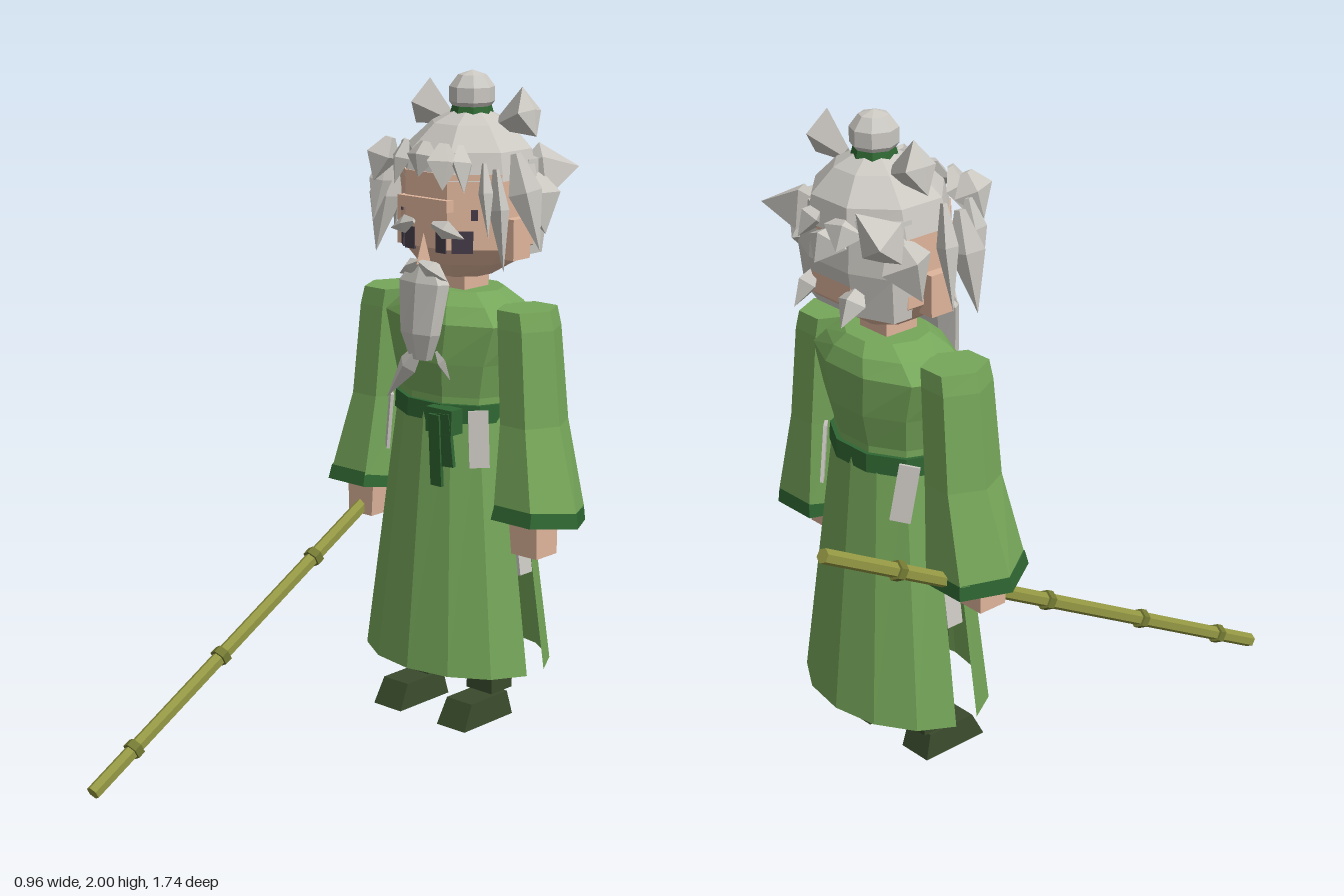
import * as THREE from 'three';

const mat = (name, color, side = THREE.FrontSide) =>
  Object.assign(new THREE.MeshStandardMaterial({ color, flatShading: true, side }), { name });

const M = {
  robe: mat('robe green', 0x76a75a, THREE.DoubleSide),
  trim: mat('trim green', 0x2f6632, THREE.DoubleSide),
  dark: mat('trouser green', 0x3a4a2c),
  hair: mat('hair grey', 0xcbc8c2),
  skin: mat('skin', 0xdfb59c),
  eye: mat('eye dark', 0x453c48),
  cane: mat('bamboo', 0x959843),
  node: mat('bamboo joint', 0x747a34),
};

// Skin rings [y, cx, cz, rx, rz] listed from bottom to top
function loft(rings, n, { start = 0, len = Math.PI * 2, caps = true } = {}) {
  const pos = [], idx = [];
  for (const [y, cx, cz, rx, rz] of rings)
    for (let j = 0; j <= n; j++) {
      const a = start + (len * j) / n;
      pos.push(cx + rx * Math.sin(a), y, cz + rz * Math.cos(a));
    }
  const w = n + 1;
  for (let i = 0; i < rings.length - 1; i++)
    for (let j = 0; j < n; j++) {
      const a = i * w + j;
      idx.push(a, a + 1, a + w + 1, a, a + w + 1, a + w);
    }
  if (caps)
    for (const i of [0, rings.length - 1]) {
      const [y, cx, cz] = rings[i], c = pos.length / 3;
      pos.push(cx, y, cz);
      for (let j = 0; j < n; j++) {
        const a = i * w + j;
        if (i) idx.push(c, a, a + 1); else idx.push(c, a + 1, a);
      }
    }
  const g = new THREE.BufferGeometry();
  g.setAttribute('position', new THREE.Float32BufferAttribute(pos, 3));
  g.setIndex(idx);
  g.computeVertexNormals();
  return g;
}

export function createModel() {
  const root = new THREE.Group();
  root.name = 'oldMaster';
  const V = (p) => new THREE.Vector3(...p);
  const add = (name, geo, m, p = [0, 0, 0], r = [0, 0, 0]) => {
    const mesh = new THREE.Mesh(geo, m);
    mesh.name = name;
    mesh.position.set(...p);
    mesh.rotation.set(...r);
    root.add(mesh);
    return mesh;
  };
  const box = (name, size, m, p, r) => add(name, new THREE.BoxGeometry(...size), m, p, r);
  // Mesh whose local y runs from a to b
  const along = (name, geo, m, a, b) => {
    const mesh = add(name, geo, m, a);
    mesh.quaternion.setFromUnitVectors(new THREE.Vector3(0, 1, 0), V(b).sub(V(a)).normalize());
    return mesh;
  };
  // Pointed diamond lock of hair
  const lock = (name, a, b, w, flat = 0.6, mid = 0.4) => {
    const L = V(a).distanceTo(V(b));
    return along(name, loft([[0, 0, 0, w * 0.3, w * 0.3 * flat], [L * mid, 0, 0, w, w * flat], [L, 0, 0, 0, 0]], 4), M.hair, a, b);
  };
  const oct = { start: Math.PI / 8 };
  const K = 1 / Math.cos(Math.PI / 8);

  // Robe: torso, split skirt, belt and sash
  add('torso', loft([
    [0.98, 0, -0.335, 0.195, 0.15], [1.06, 0, -0.335, 0.195, 0.15], [1.16, 0, -0.34, 0.22, 0.17],
    [1.28, 0, -0.345, 0.262, 0.172], [1.33, 0, -0.35, 0.2, 0.15], [1.365, 0, -0.355, 0.13, 0.115],
  ], 10, { start: Math.PI / 10 }), M.robe);
  for (const [name, c] of [['skirtFront', 0], ['skirtBack', Math.PI]])
    add(name, loft([[0.22, 0, -0.34, 0.315, 0.232], [1.02, 0, -0.335, 0.2, 0.155]], 6,
      { start: c - 1.4, len: 2.8, caps: false }), M.robe);
  add('belt', loft([[0.985, 0, -0.335, 0.21, 0.165], [1.04, 0, -0.335, 0.207, 0.163]], 10, { start: Math.PI / 10 }), M.trim);
  box('beltKnot', [0.1, 0.075, 0.05], M.trim, [0.09, 1.0, -0.168]);
  box('sashLong', [0.042, 0.22, 0.012], M.trim, [0.078, 0.91, -0.146], [0.06, 0, 0]);
  box('sashShort', [0.055, 0.16, 0.012], M.trim, [0.11, 0.945, -0.15], [0.05, 0, 0.08]);

  for (const s of [-1, 1]) {
    // Sleeves, cuffs and hands
    add('sleeve', loft([
      [0.74, s * 0.33, -0.32, 0.142, 0.143], [1.0, s * 0.295, -0.335, 0.095, 0.115],
      [1.28, s * 0.272, -0.335, 0.09, 0.105], [1.335, s * 0.262, -0.335, 0.085, 0.1],
    ], 6, { start: Math.PI / 6 * 3 }), M.robe);
    add('cuff', loft([
      [-0.022, 0, 0, 0.148, 0.15], [0.022, 0, 0, 0.14, 0.142],
    ], 6, { start: Math.PI / 2 }), M.trim, [s * 0.33, 0.732, -0.32], [-0.1, 0, 0]);
    add('hand', loft([
      [0.61, s * 0.33, -0.3, 0.068, 0.066], [0.73, s * 0.325, -0.3, 0.075, 0.07],
    ], 4, { start: Math.PI / 4 }), M.skin);

    // Legs and shoes
    box('trouserLeg', [0.1, 0.85, 0.095], M.dark, [s * 0.13, 0.555, -0.34]);
    add('shoe', loft([
      [0.045, s * 0.13, -0.273, 0.078, 0.158], [0.122, s * 0.13, -0.283, 0.07, 0.116],
    ], 4, { start: Math.PI / 4 }), M.dark);

    // Pale under-cloth at the hips
    for (const f of [1, -1])
      box('hipCloth', [0.06, 0.17, 0.01], M.hair, [s * 0.178, 0.945, -0.335 + f * 0.112],
        [f * -0.1, f > 0 ? s * 0.75 : Math.PI - s * 0.75, s * 0.1]);
    box('slitCloth', [0.012, 0.48, 0.055], M.hair, [s * 0.228, 0.76, -0.343], [0, 0, s * 0.14]);

    // Ears
    box('ear', [0.05, 0.12, 0.075], M.skin, [s * 0.202, 1.53, -0.348]);

    // Eyes wrap from the flat front onto the cheek
    const turn = s * 0.74;
    box('eyeFront', [0.036, 0.065, 0.008], M.eye, [s * 0.06, 1.523, -0.184]);
    box('eyeSide', [0.062, 0.065, 0.008], M.eye, [s * 0.115, 1.523, -0.215], [0, turn, 0]);
    box('templeMark', [0.02, 0.03, 0.008], M.eye, [s * 0.14, 1.603, -0.238], [0, turn, 0]);

    // Eyebrows and moustache
    lock('eyebrow', [s * 0.035, 1.575, -0.172], [s * 0.145, 1.54, -0.19], 0.028, 0.6);
    lock('moustache', [0, 1.462, -0.155], [s * 0.095, 1.412, -0.175], 0.026, 0.8);

    // Side locks, crown tufts and back spikes
    lock('sideLock', [s * 0.2, 1.74, -0.26], [s * 0.25, 1.45, -0.24], 0.05);
    lock('sideLock', [s * 0.215, 1.78, -0.33], [s * 0.285, 1.5, -0.36], 0.05);
    lock('sideLock', [s * 0.19, 1.76, -0.22], [s * 0.225, 1.55, -0.2], 0.036);
    lock('crownTuft', [s * 0.1, 1.85, -0.4], [s * 0.225, 1.9, -0.4], 0.075, 0.7, 0.85);
    lock('backTuft', [s * 0.12, 1.7, -0.46], [s * 0.25, 1.72, -0.58], 0.1, 0.7);
    lock('backTuft', [s * 0.16, 1.62, -0.44], [s * 0.27, 1.66, -0.47], 0.11, 0.7);
    lock('napeTuft', [s * 0.09, 1.56, -0.52], [s * 0.1, 1.46, -0.595], 0.045, 0.7);
    lock('backSpike', [s * 0.06, 1.75, -0.52], [s * 0.08, 1.67, -0.59], 0.06, 0.6);
  }

  // Neck, head, brow and nose
  box('neck', [0.115, 0.14, 0.11], M.skin, [0, 1.39, -0.347]);
  add('head', loft([
    [1.405, 0, -0.35, 0.09, 0.09], [1.45, 0, -0.36, 0.165, 0.15],
    [1.5, 0, -0.365, 0.195 * K, 0.18 * K], [1.72, 0, -0.365, 0.195 * K, 0.18 * K],
  ], 8, oct), M.skin);
  box('browRidge', [0.19, 0.035, 0.03], M.skin, [0, 1.63, -0.182]);
  add('nose', new THREE.ConeGeometry(0.03, 0.09, 4), M.skin, [0, 1.5, -0.175]);

  // Hair cap, back hair and topknot
  add('hairCap', loft([
    [1.7, 0, -0.37, 0.2 * K, 0.184 * K], [1.78, 0, -0.375, 0.18 * K, 0.17 * K],
    [1.85, 0, -0.38, 0.11 * K, 0.11 * K], [1.885, 0, -0.385, 0.05, 0.05],
  ], 8, oct), M.hair);
  add('backHair', loft([
    [1.47, 0, -0.455, 0.19 * K, 0.075 * K], [1.6, 0, -0.46, 0.2 * K, 0.092 * K], [1.75, 0, -0.455, 0.19 * K, 0.085 * K],
  ], 8, oct), M.hair);
  lock('backSpike', [0, 1.7, -0.52], [0, 1.62, -0.6], 0.08);
  add('topknotTie', new THREE.CylinderGeometry(0.058, 0.065, 0.025, 8), M.trim, [0, 1.885, -0.385]);
  add('topknot', new THREE.SphereGeometry(0.071, 8, 5), M.hair, [0, 1.93, -0.385]).scale.y = 0.98;

  // Fringe
  for (const [x, w] of [[-0.16, 0.06], [-0.085, 0.055], [0, 0.06], [0.085, 0.055], [0.16, 0.06]])
    lock('fringe', [x * 0.85, 1.81, -0.18], [x * 1.1, 1.68 + (x ? 0 : 0.03), -0.15], w, 0.5);

  // Beard with a trailing wisp
  add('beard', loft([
    [1.17, 0.0, -0.165, 0.04, 0.02], [1.25, 0.0, -0.16, 0.075, 0.032],
    [1.4, 0, -0.175, 0.097, 0.035], [1.455, 0, -0.185, 0.05, 0.025],
  ], 7), M.hair);
  lock('beardWisp', [0.01, 1.22, -0.16], [-0.13, 1.035, -0.16], 0.034, 0.7);
  lock('beardTuft', [0.06, 1.2, -0.165], [0.125, 1.125, -0.155], 0.022);

  // Bamboo staff slanting forward through the right hand
  const a = [-0.33, 0.02, 0.86], b = [-0.33, 0.965, -0.86];
  const L = V(a).distanceTo(V(b));
  along('staff', new THREE.CylinderGeometry(0.022, 0.022, L, 6).translate(0, L / 2, 0), M.cane, a, b);
  for (const z of [0.7, 0.35, -0.045, -0.605]) {
    const t = ((0.86 - z) / 1.72) * L;
    along('staffJoint', new THREE.CylinderGeometry(0.03, 0.03, 0.026, 6).translate(0, t, 0), M.node, a, b);
  }
  return root;
}
